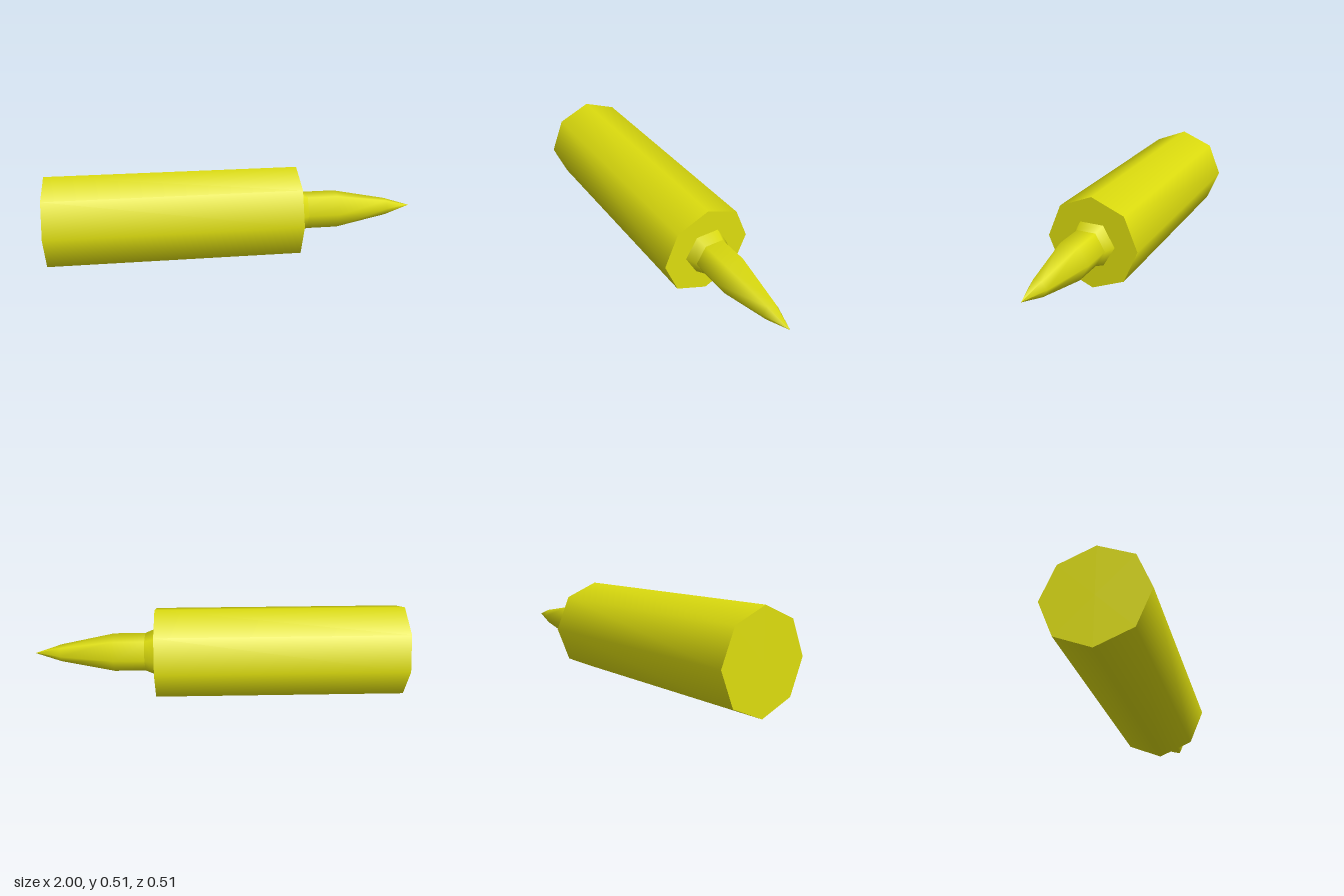
import * as THREE from 'three';

const AXIS_Y = 0.253; // height of the long axis

export function createModel() {
  const model = new THREE.Group();
  model.name = 'pointedRod';
  const yellow = new THREE.MeshStandardMaterial({ color: 0xdcdc0e });
  yellow.name = 'yellow';

  // Lays a part built along +y onto the x axis, base at x = startX
  const addPart = (name, geometry, startX) => {
    geometry.rotateZ(-Math.PI / 2);
    const mesh = new THREE.Mesh(geometry, yellow);
    mesh.name = name;
    mesh.position.set(startX, AXIS_Y, 0);
    model.add(mesh);
  };

  // Eight-sided main barrel, closed at both ends
  const barrelLength = 1.34;
  addPart('barrel',
    new THREE.CylinderGeometry(0.253, 0.253, barrelLength, 8).translate(0, barrelLength / 2, 0), -1);

  // Six-sided flared neck where the tip meets the barrel
  addPart('neck',
    new THREE.CylinderGeometry(0.103, 0.128, 0.06, 6, 1, true).translate(0, 0.03, 0), 0.34);

  // Six-sided tip: straight shank, long taper, sharp point
  const tipProfile = [[0.103, 0], [0.103, 0.17], [0.046, 0.46], [0, 0.6]]
    .map(([r, y]) => new THREE.Vector2(r, y));
  addPart('tip', new THREE.LatheGeometry(tipProfile, 6), 0.4);

  return model;
}
